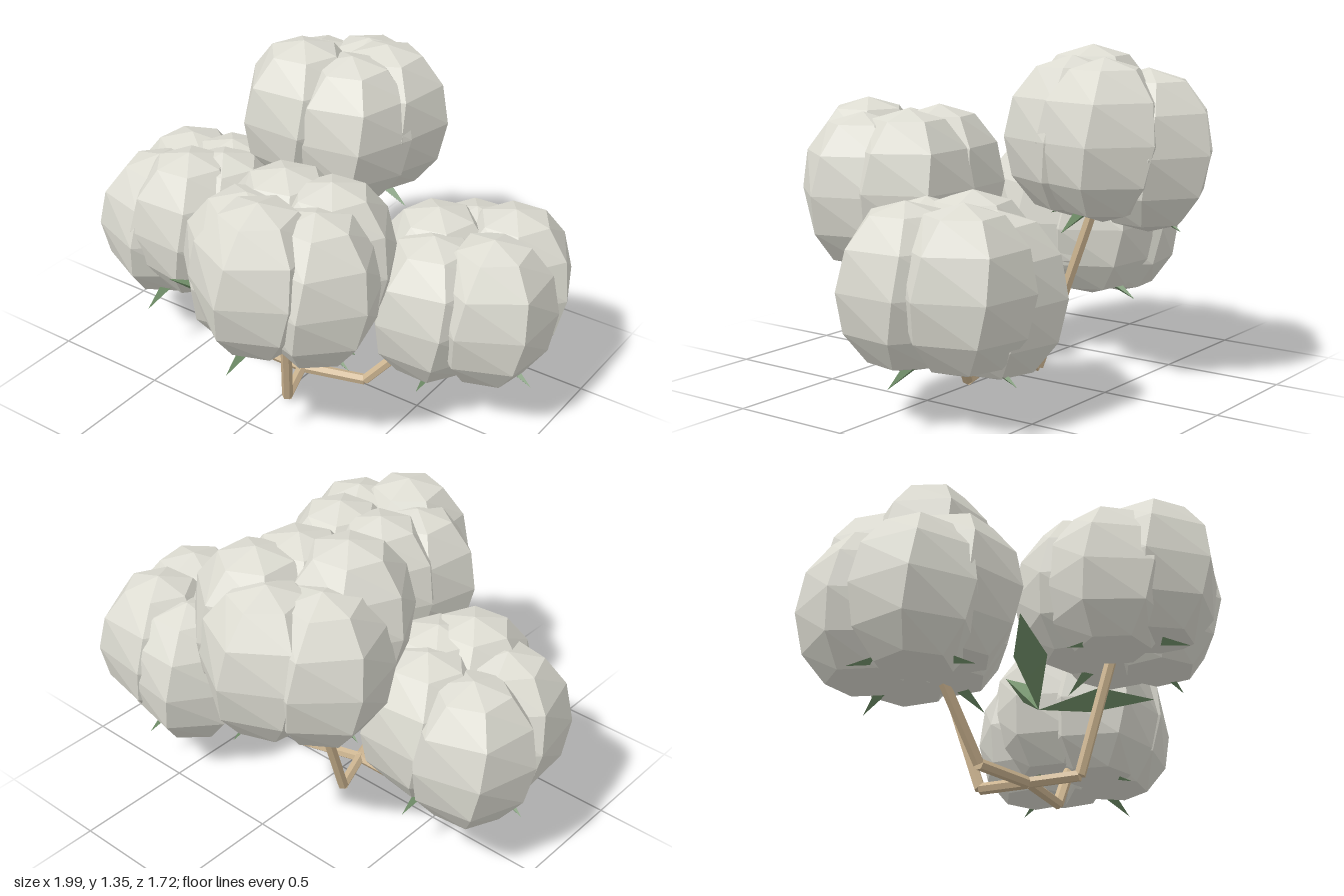
import * as THREE from 'three';

const fluff = new THREE.MeshStandardMaterial({ color: 0xdddcd2, flatShading: true });
fluff.name = 'fluff grey white';
const bark = new THREE.MeshStandardMaterial({ color: 0xcdb591, flatShading: true });
bark.name = 'stem tan';
const green = new THREE.MeshStandardMaterial({ color: 0x708e68, flatShading: true, side: THREE.DoubleSide });
green.name = 'leaf green';

const V = (x, y, z) => new THREE.Vector3(x, y, z);

function addMesh(parent, name, geometry, material) {
  const m = new THREE.Mesh(geometry, material);
  m.name = name;
  parent.add(m);
  return m;
}

// Six-sided puffy lobe with a slight twist from bottom to top
function lobeGeometry() {
  const pts = [];
  for (let i = 0; i <= 6; i++) {
    const t = (i / 6) * Math.PI;
    const r = i % 6 === 0 ? 0 : 0.27 * Math.pow(Math.sin(t), 0.88);
    pts.push(new THREE.Vector2(r, -0.32 * Math.cos(t)));
  }
  const g = new THREE.LatheGeometry(pts, 6);
  const p = g.attributes.position;
  const v = V(0, 0, 0), up = V(0, 1, 0);
  for (let i = 0; i < p.count; i++) {
    v.fromBufferAttribute(p, i);
    v.applyAxisAngle(up, 0.6 * v.y);
    p.setXYZ(i, v.x, v.y, v.z);
  }
  return g;
}

// Pointed blade folded along its keel; rise lifts the rims of the middle
function bladeGeometry(base, tip, width, rise, fold, along) {
  const dir = tip.clone().sub(base);
  const side = V(-dir.z, 0, dir.x).normalize().multiplyScalar(width / 2);
  const mid = base.clone().lerp(tip, along).add(V(0, rise, 0));
  const l = mid.clone().add(side), r = mid.clone().sub(side);
  const keel = mid.clone().add(V(0, -fold, 0));
  const g = new THREE.BufferGeometry().setFromPoints([base, l, keel, base, keel, r, l, tip, keel, keel, tip, r]);
  g.computeVertexNormals();
  return g;
}

// Straight six-sided twig between two points
function twig(parent, a, b) {
  const d = b.clone().sub(a);
  const m = addMesh(parent, 'stemPiece', new THREE.CylinderGeometry(0.023, 0.023, d.length(), 6), bark);
  m.position.copy(a).add(b).multiplyScalar(0.5);
  m.quaternion.setFromUnitVectors(V(0, 1, 0), d.normalize());
}

// Boll: five lobes around a centre, four sepals peeping out below
function makeBoll(name, centre, lobes) {
  const boll = new THREE.Group();
  boll.name = name;
  boll.position.copy(centre);
  const geo = lobeGeometry();
  for (const [x, y, z] of lobes) {
    const lobe = addMesh(boll, 'lobe', geo, fluff);
    lobe.position.set(x, y, z).sub(centre);
    lobe.rotation.y = Math.atan2(lobe.position.x, lobe.position.z);
  }
  for (let i = 0; i < 4; i++) {
    const a = (i * Math.PI) / 2 + 0.1;
    const at = (r, y) => V(Math.cos(a) * r, y, Math.sin(a) * r);
    addMesh(boll, 'sepal', bladeGeometry(at(0.03, -0.24), at(0.33, -0.34), 0.06, 0.03, 0.03, 0.6), green);
  }
  return boll;
}

// Each boll: centre, lobe centres, stem elbow, stem top
const bolls = [
  {
    name: 'frontBoll', centre: V(0.15, 0.79, 0.44),
    lobes: [[0.15, 0.81, 0.59], [0.32, 0.77, 0.47], [0.26, 0.79, 0.28], [0.05, 0.79, 0.29], [0.01, 0.76, 0.48]],
    elbow: V(0.04, 0.028, 0.28), top: V(0.13, 0.6, 0.41),
  },
  {
    name: 'backBoll', centre: V(-0.16, 1.0, -0.43),
    lobes: [[-0.16, 0.96, -0.59], [-0.33, 0.95, -0.48], [-0.26, 1.04, -0.26], [-0.05, 1.01, -0.3], [0.0, 1.01, -0.48]],
    elbow: V(-0.1, 0.028, -0.11), top: V(-0.14, 0.8, -0.38),
  },
  {
    name: 'leftBoll', centre: V(0.6, 0.52, -0.2),
    lobes: [[0.75, 0.52, -0.11], [0.71, 0.53, -0.35], [0.53, 0.48, -0.36], [0.45, 0.53, -0.19], [0.53, 0.5, -0.03]],
    elbow: V(0.24, 0.028, 0), top: V(0.53, 0.37, -0.14),
  },
  {
    name: 'rightBoll', centre: V(-0.6, 0.585, 0.04),
    lobes: [[-0.74, 0.55, -0.1], [-0.52, 0.58, -0.1], [-0.45, 0.6, 0.05], [-0.54, 0.62, 0.16], [-0.72, 0.55, 0.14]],
    elbow: V(-0.31, 0.028, 0.08), top: V(-0.55, 0.42, 0.05),
  },
];

export function createModel() {
  const model = new THREE.Group();
  model.name = 'cottonPlant';

  const hub = V(-0.03, 0.028, 0.08);
  const stems = new THREE.Group();
  stems.name = 'stems';
  model.add(stems);
  for (const { name, centre, lobes, elbow, top } of bolls) {
    model.add(makeBoll(name, centre, lobes));
    twig(stems, hub, elbow);
    twig(stems, elbow, top);
  }

  // Three large folded leaves spreading from one point
  const root = V(-0.06, 0.3, 0.16);
  for (const tip of [V(-0.46, 0.49, 0.42), V(0.43, 0.44, 0.36), V(0.06, 0.55, -0.12)]) {
    addMesh(model, 'leaf', bladeGeometry(root, tip, 0.13, 0.05, 0.08, 0.45), green);
  }
  return model;
}
